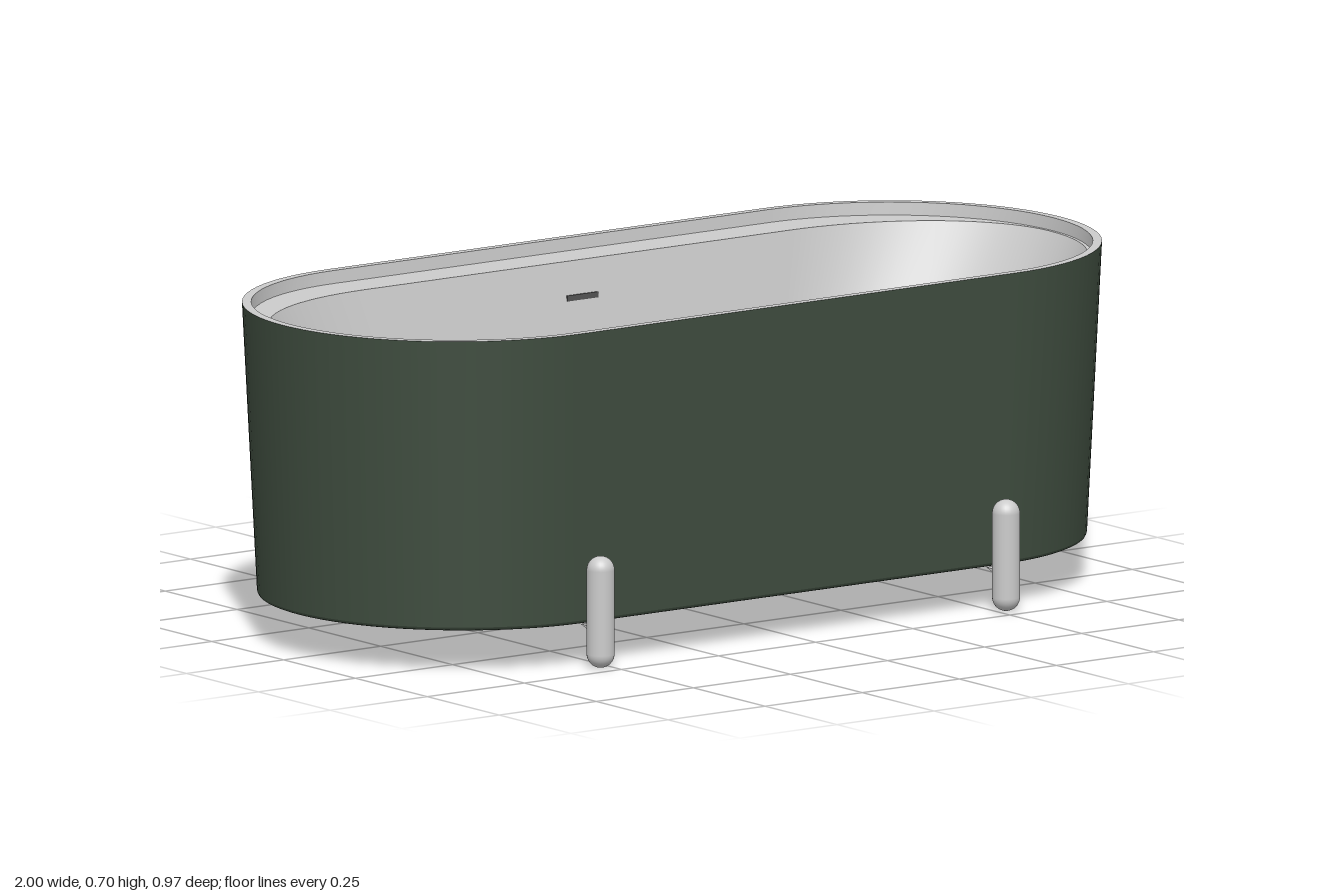
import * as THREE from 'three';
import { mergeGeometries } from 'three/addons/utils/BufferGeometryUtils.js';

const N = 20; // segments per rounded quarter

// Oval ring: height y, half length a, half straight length s, front z, back z, centre z
function ring(y, a, s, front, back = -front, zc = 0) {
  const pts = [];
  for (let q = 0; q < 4; q++) {
    const side = q === 0 || q === 3 ? 1 : -1;
    const last = q % 2 === 0 ? N : N - 1;
    for (let i = 0; i <= last; i++) {
      const t = (q + i / N) * Math.PI / 2;
      const reach = q < 2 ? front - zc : zc - back;
      pts.push([side * s + (a - s) * Math.cos(t), y, zc + reach * Math.sin(t)]);
    }
  }
  return pts;
}

// Smooth strip through a list of rings
function loft(rings) {
  const n = rings[0].length, index = [];
  for (let r = 0; r < rings.length - 1; r++) {
    for (let i = 0; i < n; i++) {
      const j = (i + 1) % n;
      const a = r * n + i, b = r * n + j, c = a + n, d = b + n;
      index.push(a, c, b, b, c, d);
    }
  }
  const geo = new THREE.BufferGeometry();
  geo.setAttribute('position', new THREE.Float32BufferAttribute(rings.flat(2), 3));
  geo.setIndex(index);
  geo.computeVertexNormals();
  return geo;
}

// Several strips with a sharp edge between them
const strips = (...list) => mergeGeometries(list.map(loft));

export function createModel() {
  const group = new THREE.Group();
  const grey = new THREE.MeshStandardMaterial({ color: 0xcccccc });
  const green = new THREE.MeshStandardMaterial({ color: 0x3f4d3f });
  const dark = new THREE.MeshStandardMaterial({ color: 0x141414 });
  const shade = new THREE.MeshStandardMaterial({ color: 0x555555 });

  function add(name, geo, material, x = 0, y = 0, z = 0) {
    const mesh = new THREE.Mesh(geo, material);
    mesh.name = name;
    mesh.position.set(x, y, z);
    group.add(mesh);
    return mesh;
  }

  // Coloured outer skin, slightly tapered, with a softened lower edge
  const skinFoot = ring(0.09, 0.958, 0.54, 0.419);
  const skinLow = ring(0.097, 0.965, 0.54, 0.425);
  const rimOut = ring(0.705, 1, 0.56, 0.44);
  add('outerSkin', strips([skinFoot, ring(0.092, 0.963, 0.54, 0.423), skinLow], [skinLow, rimOut]), green);

  // Lower lip and the hollow inside of the skin
  const lipInner = ring(0.09, 0.925, 0.54, 0.386);
  const liningTop = ring(0.66, 0.978, 0.56, 0.42);
  add('skinLining', strips([liningTop, lipInner], [lipInner, skinFoot]), grey);

  // Basin: underside, rim, sunken back ledge, sloping walls, floor and drain hole
  const zc = 0.045;
  const holeLow = ring(0.18, 0.05, 0, zc + 0.05, zc - 0.05, zc);
  const holeTop = ring(0.2, 0.05, 0, zc + 0.05, zc - 0.05, zc);
  const underBed = ring(0.18, 0.67, 0.42, 0.29, -0.2, zc);
  const underTop = ring(0.66, 0.973, 0.55, 0.416, -0.345);
  const rimIn = ring(0.705, 0.981, 0.56, 0.421);
  const ledgeOut = ring(0.678, 0.979, 0.56, 0.419);
  const opening = ring(0.678, 0.972, 0.55, 0.411, -0.327);
  const bedEdge = ring(0.2, 0.655, 0.42, 0.28, -0.19, zc);
  add('basin', strips(
    [holeLow, underBed],
    [underBed, ring(0.187, 0.71, 0.42, 0.32, -0.23, zc),
      ring(0.22, 0.74, 0.42, 0.342, -0.255, zc), underTop],
    [underTop, liningTop],
    [rimOut, rimIn],
    [rimIn, ledgeOut],
    [ledgeOut, opening],
    [opening, ring(0.46, 0.855, 0.49, 0.37, -0.284, 0.02),
      ring(0.25, 0.728, 0.42, 0.33, -0.243, zc), ring(0.222, 0.708, 0.42, 0.319, -0.23, zc),
      ring(0.206, 0.685, 0.42, 0.303, -0.212, zc), bedEdge],
    [bedEdge, holeTop],
    [holeTop, holeLow]
  ), grey);

  // Drain cover with a plug below it
  add('drainCover', new THREE.CylinderGeometry(0.05, 0.05, 0.004, 40), dark, 0, 0.199, zc);
  add('drainPlug', new THREE.CylinderGeometry(0.049, 0.049, 0.004, 40), grey, 0, 0.194, zc);

  // Overflow slot in the back wall
  add('overflowSlot', new THREE.BoxGeometry(0.08, 0.012, 0.008), shade, 0, 0.603, -0.314);

  // Wedge-shaped bracket between post and underside
  const wedge = new THREE.Shape([
    new THREE.Vector2(0.435, 0.070), new THREE.Vector2(0.435, 0.083), new THREE.Vector2(0.396, 0.083),
  ]);
  const bracketGeo = new THREE.ExtrudeGeometry(wedge, { depth: 0.012, bevelEnabled: false });
  bracketGeo.translate(0, 0, -0.006);
  const postGeo = new THREE.CapsuleGeometry(0.029, 0.177, 10, 28);

  for (const sx of [-1, 1]) {
    // Thin cross strap, level with the lower lip
    add('crossStrap', new THREE.BoxGeometry(0.14, 0.003, 0.79), grey, sx * 0.39, 0.0915, 0);
    for (const sz of [-1, 1]) {
      add('post', postGeo, grey, sx * 0.522, 0.1175, sz * 0.457);
      add('postBracket', bracketGeo, grey, sx * 0.522, 0, 0).rotation.y = -sz * Math.PI / 2;
    }
  }
  return group;
}
